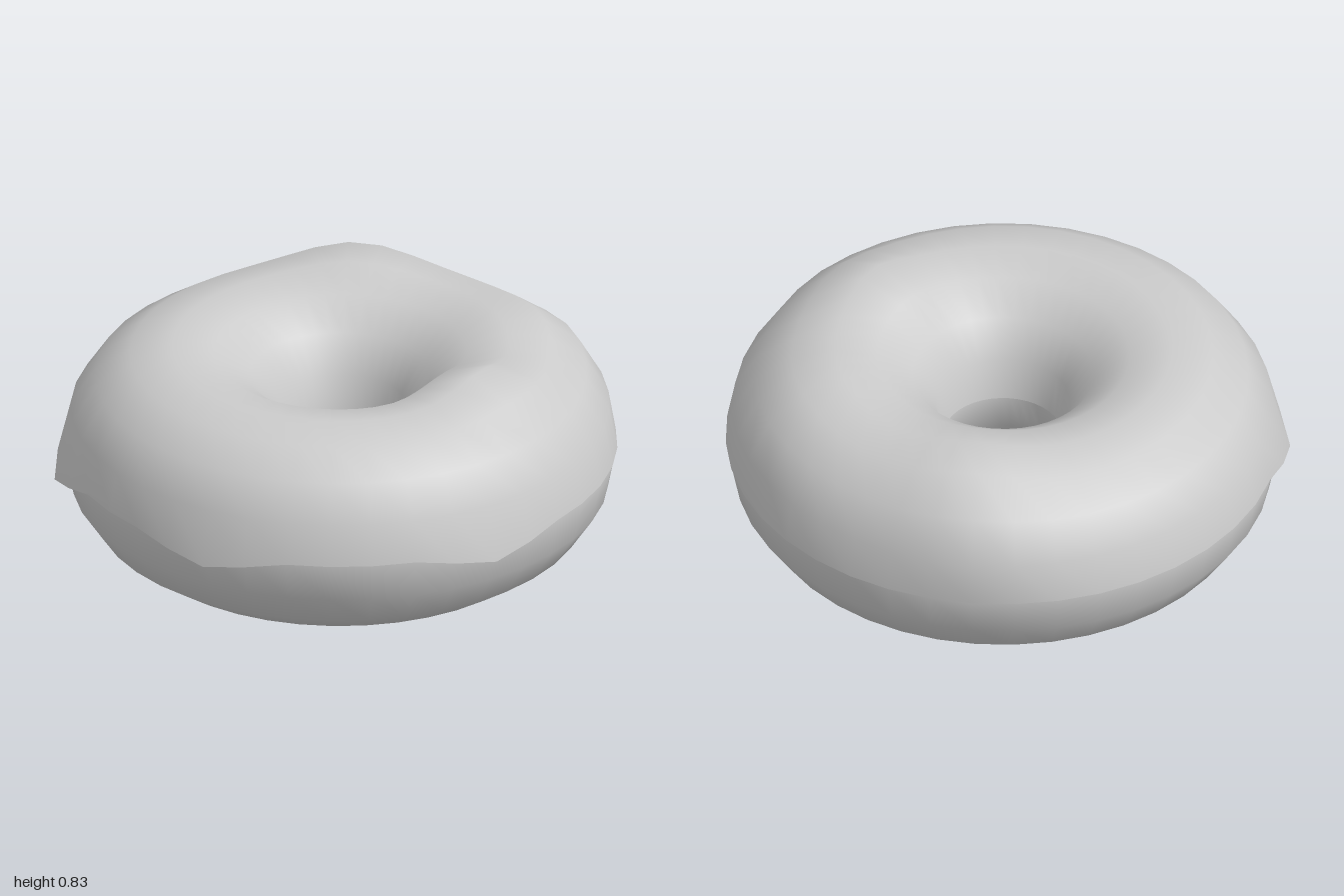
import * as THREE from 'three';
import { mergeVertices } from 'three/addons/utils/BufferGeometryUtils.js';

const R = 0.598, TUBE = 0.384, MID = 0.386, CX = 0.015;
const SEGMENTS = 40, SIDES = 16;

// Soft lumps on the icing: x, z, height, spread
const lumps = [
  [0.45, 0.38, 0.066, 0.13],
  [0.17, -0.78, 0.062, 0.18],
  [0.72, -0.18, 0.03, 0.16],
];

// Drips on the icing rim: angle from the front, drop, outward push
const drips = [
  [27, 0.056, 0.014],
  [-36, 0.056, 0.014],
  [-90, 0.085, 0.036],
];

// Revolve an arc of the ring's section; 0 degrees is the outer equator
function ringGeometry(radius, steps) {
  const profile = [];
  for (let i = 0; i <= steps; i++) {
    const a = (i / SIDES) * Math.PI * 2;
    profile.push(new THREE.Vector2(R + radius * Math.cos(a), radius * Math.sin(a)));
  }
  const lathe = new THREE.LatheGeometry(profile, SEGMENTS);
  lathe.deleteAttribute('normal');
  lathe.deleteAttribute('uv');
  return mergeVertices(lathe, 1e-4);
}

function shapeIcing(geometry) {
  const pos = geometry.attributes.position;
  const p = new THREE.Vector3(), n = new THREE.Vector3();
  for (let i = 0; i < pos.count; i++) {
    p.fromBufferAttribute(pos, i);
    const rho = Math.hypot(p.x, p.z);
    const outward = new THREE.Vector3(p.x / rho, 0, p.z / rho);
    n.copy(p).addScaledVector(outward, -R).normalize();
    const angle = THREE.MathUtils.radToDeg(Math.atan2(p.x, p.z));
    const onRim = p.y < 0.01 && rho > R;

    // raise the lumps along the surface normal
    const x = p.x + CX, z = p.z;
    for (const [lx, lz, height, spread] of lumps) {
      const d2 = (x - lx) ** 2 + (z - lz) ** 2;
      const k = height * Math.exp(-d2 / (2 * spread * spread)) * THREE.MathUtils.smoothstep(n.y, 0, 0.5);
      p.addScaledVector(n, k);
    }
    // pull the rim down and out into drips
    if (onRim) {
      for (const [a, drop, push] of drips) {
        const k = Math.max(0, 1 - Math.abs(angle - a) / 18);
        p.y -= drop * k;
        p.addScaledVector(outward, push * k);
      }
    }
    pos.setXYZ(i, p.x, p.y, p.z);
  }
}

export function createModel() {
  const group = new THREE.Group();
  group.name = 'donut';

  const addPart = (name, geometry, side) => {
    geometry.computeVertexNormals();
    const mesh = new THREE.Mesh(geometry, new THREE.MeshStandardMaterial({ color: 0xcccccc, side }));
    mesh.name = name;
    mesh.position.set(CX, MID, 0);
    group.add(mesh);
  };

  // Full ring of dough
  addPart('dough', ringGeometry(TUBE, SIDES), THREE.FrontSide);

  // Thin icing shell over the upper half
  const icing = ringGeometry(TUBE + 0.003, SIDES / 2);
  shapeIcing(icing);
  addPart('icing', icing, THREE.DoubleSide);

  return group;
}
